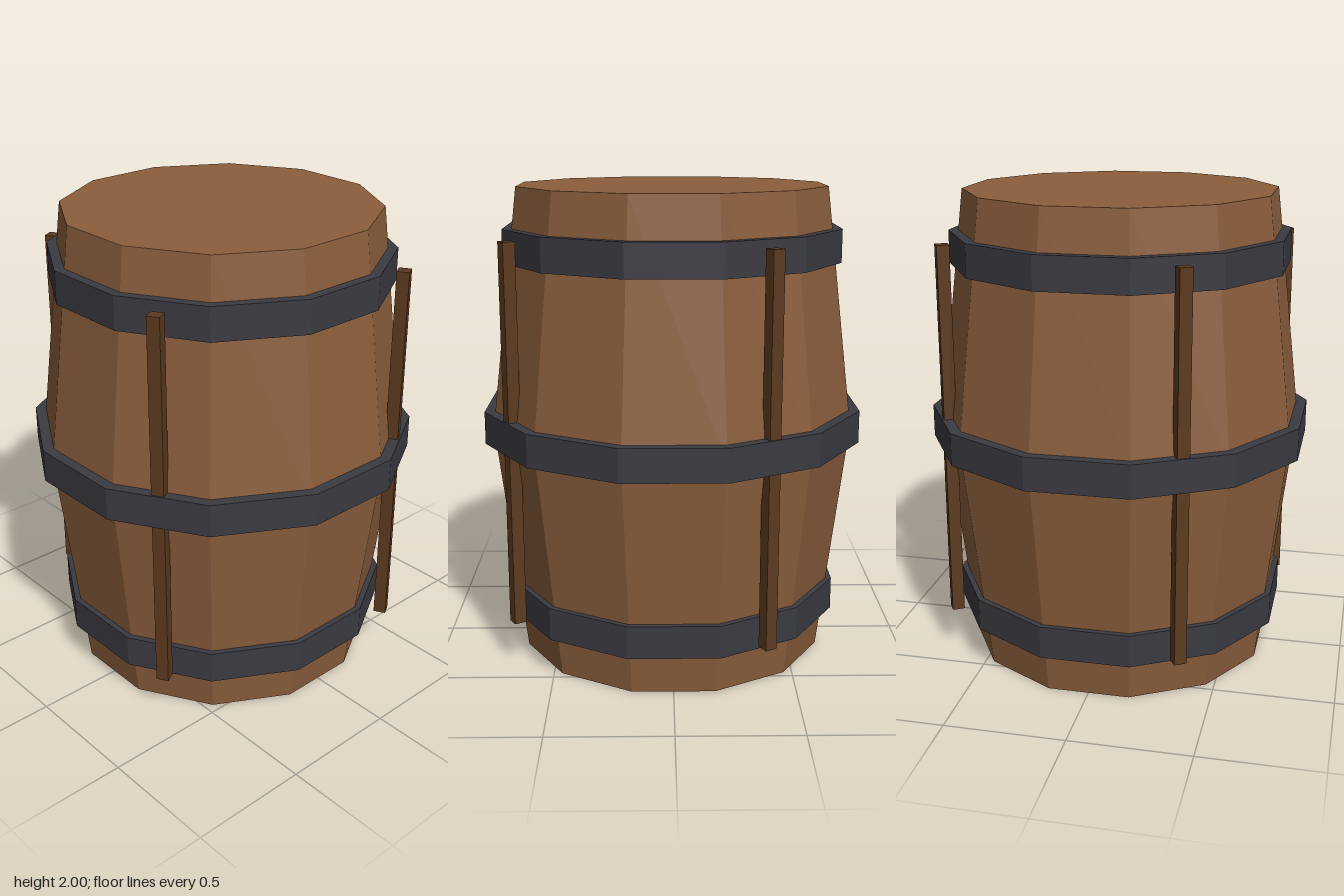
import * as THREE from 'three';

const SIDES = 12;
const wood = new THREE.MeshStandardMaterial({ color: 0x8b5e3c });
wood.name = 'barrelWood';
const iron = new THREE.MeshStandardMaterial({ color: 0x3a3a42 });
iron.name = 'darkIron';
const darkWood = new THREE.MeshStandardMaterial({ color: 0x5c3a1e });
darkWood.name = 'darkWood';

// Faceted 12-sided solid; profile points are [distance to flat, height], bottom to top
function faceted(profile) {
  const k = 1 / Math.cos(Math.PI / SIDES);
  const points = profile.map(([r, y]) => new THREE.Vector2(r * k, y));
  const geometry = new THREE.LatheGeometry(points, SIDES, Math.PI / SIDES).toNonIndexed();
  geometry.computeVertexNormals();
  return geometry;
}

function addMesh(parent, name, geometry, material) {
  const mesh = new THREE.Mesh(geometry, material);
  mesh.name = name;
  parent.add(mesh);
  return mesh;
}

export function createModel() {
  const barrel = new THREE.Group();
  barrel.name = 'barrel';

  // Bulging body with closed ends
  addMesh(barrel, 'body', faceted([[0, 0], [0.635, 0], [0.752, 1], [0.635, 2], [0, 2]]), wood);

  // Three iron hoops, sunk into the body
  const hoops = [['lowerHoop', 0.242, 0.695], ['middleHoop', 1.002, 0.788], ['upperHoop', 1.76, 0.695]];
  for (const [name, y, r] of hoops) {
    const a = y - 0.069, b = y + 0.069, inner = r - 0.1;
    addMesh(barrel, name, faceted([[inner, a], [r, a], [r, b], [inner, b], [inner, a]]), iron);
  }

  // Four upright battens, a quarter turn apart
  const battens = new THREE.Group();
  battens.name = 'battens';
  barrel.add(battens);
  const battenShape = new THREE.BoxGeometry(0.052, 1.6, 0.052);
  for (let i = 0; i < 4; i++) {
    const angle = Math.PI / 6 + i * Math.PI / 2;
    const batten = addMesh(battens, 'batten', battenShape, darkWood);
    batten.position.set(Math.sin(angle) * 0.755, 1, Math.cos(angle) * 0.755);
    batten.rotation.y = angle;
  }
  return barrel;
}
